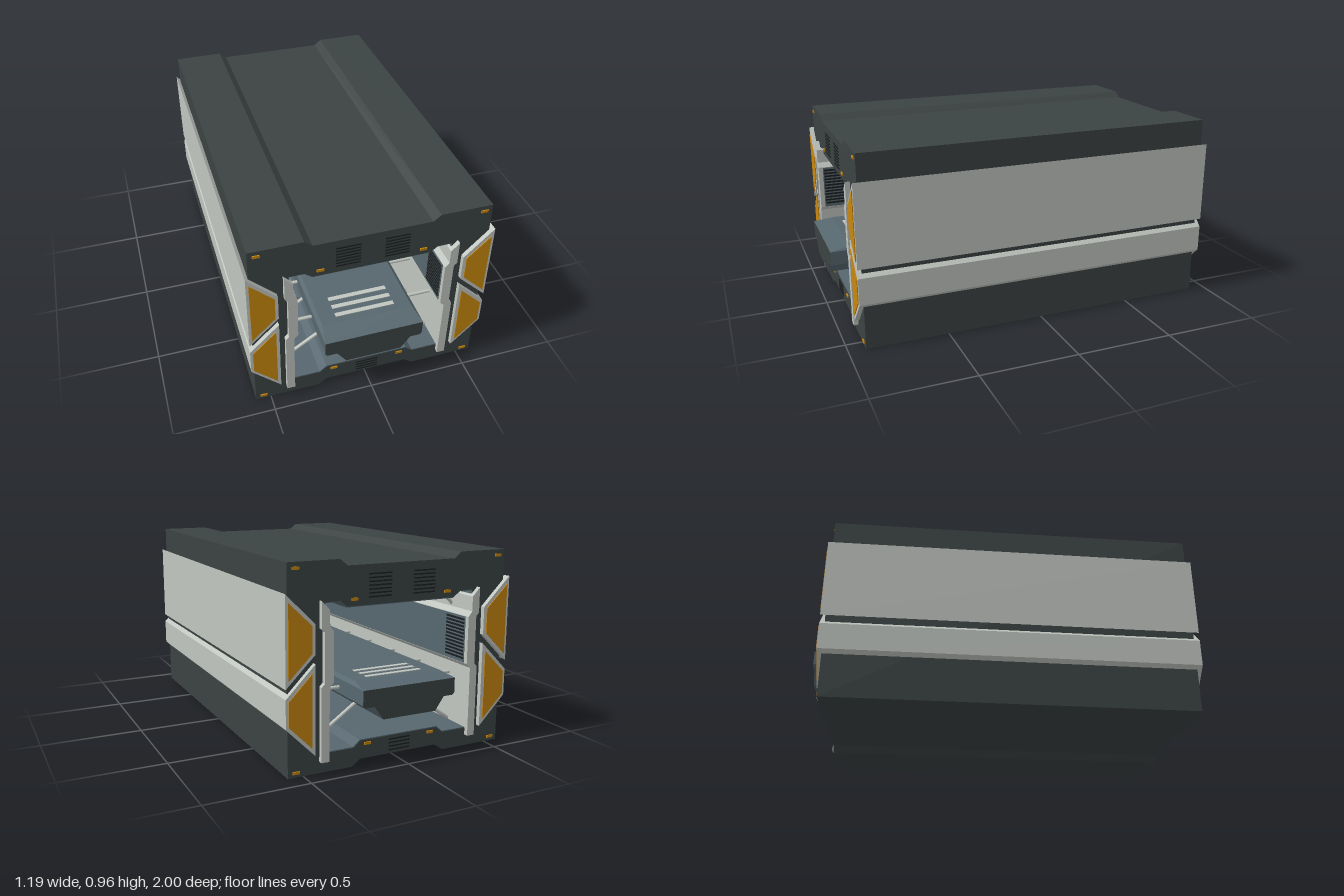
import * as THREE from 'three';

const mat = (name, color, side = THREE.FrontSide) => {
  const m = new THREE.MeshStandardMaterial({ color, side });
  m.name = name;
  return m;
};

export function createModel() {
  const group = new THREE.Group();
  const dark = mat('charcoal', 0x3c4343);
  const light = mat('pale grey', 0xc1c6c0);
  const orange = mat('orange', 0xc9870d);
  const slate = mat('slate', 0x57676f);
  const black = mat('vent black', 0x1a1e1f);

  const add = (name, geo, material, x = 0, y = 0, z = 0) => {
    const m = new THREE.Mesh(geo, material);
    m.name = name;
    m.position.set(x, y, z);
    group.add(m);
    return m;
  };
  const box = (name, material, w, h, d, x, y, z) =>
    add(name, new THREE.BoxGeometry(w, h, d), material, x, y, z);
  const vecs = (pts, s = 1) => pts.map(([x, y]) => new THREE.Vector2(x * s, y));
  // right half of a symmetric outline, listed bottom to top, closed by its mirror
  const symmetric = (half) => [...half, ...half.map(([x, y]) => [-x, y]).reverse()];
  // prism centred on z
  const prism = (pts, depth, hole, s = 1) => {
    const shape = new THREE.Shape(vecs(pts, s));
    if (hole) shape.holes.push(new THREE.Path(vecs(hole)));
    const geo = new THREE.ExtrudeGeometry(shape, { depth, bevelEnabled: false });
    return geo.translate(0, 0, -depth / 2);
  };

  // tunnel frame and its inner lining
  const outer = symmetric([[0.21, 0.032], [0.25, 0], [0.575, 0], [0.575, 0.962], [0.32, 0.962], [0.283, 0.932]]);
  const inner = symmetric([[0.21, 0.12], [0.245, 0.09], [0.393, 0.09], [0.393, 0.778], [0.32, 0.778], [0.283, 0.75]]);
  const lining = symmetric([[0.211, 0.124], [0.246, 0.094], [0.389, 0.094], [0.389, 0.774], [0.321, 0.774], [0.284, 0.746]]);
  add('tunnelFrame', prism(outer, 1.83, inner), dark);
  add('innerLining', prism(inner, 1.826, lining), slate);

  // side armour panels, wall rails and their details
  const upperPanel = [[0.45, 0.557], [0.593, 0.417], [0.593, 0.833], [0.45, 0.692]];
  const lowerPanel = [[0.45, 0.095], [0.593, 0.238], [0.593, 0.372], [0.45, 0.515]];
  const upperInset = [[0.466, 0.564], [0.58, 0.452], [0.58, 0.795], [0.466, 0.685]];
  const lowerInset = [[0.466, 0.132], [0.58, 0.246], [0.58, 0.361], [0.466, 0.475]];
  const rail = [[0.38, 0.055], [0.42, 0.055], [0.42, 0.405], [0.405, 0.42], [0.405, 0.652],
    [0.42, 0.667], [0.42, 0.79], [0.38, 0.748], [0.38, 0.677], [0.36, 0.652], [0.36, 0.42], [0.38, 0.4]];
  const rodBetween = (name, a, b, z) => {
    const A = new THREE.Vector3(a[0], a[1], z), B = new THREE.Vector3(b[0], b[1], z);
    const dir = B.clone().sub(A);
    const rod = add(name, new THREE.CylinderGeometry(0.009, 0.009, dir.length(), 8), light);
    rod.position.copy(A).add(B).multiplyScalar(0.5);
    rod.quaternion.setFromUnitVectors(new THREE.Vector3(0, 1, 0), dir.normalize());
  };

  for (const s of [-1, 1]) {
    add('upperSidePanel', prism(upperPanel, 1.876, null, s), light);
    add('lowerSidePanel', prism(lowerPanel, 1.876, null, s), light);
    add('wallRail', prism(rail, 1.876, null, s), light);
    box('wallPlate', slate, 0.004, 0.226, 1.83, s * 0.359, 0.536, 0);
    for (const e of [-1, 1]) {
      add('upperEndInset', prism(upperInset, 0.006, null, s), orange, 0, 0, e * 0.939);
      add('lowerEndInset', prism(lowerInset, 0.006, null, s), orange, 0, 0, e * 0.939);
      for (let i = 0; i < 12; i++)
        box('wallVentSlat', black, 0.006, 0.009, 0.14, s * 0.357, 0.445 + i * 0.0172, e * 0.84);
    }
    // support rods along the tunnel
    for (let i = -3; i <= 3; i++) {
      const z = i * 0.257;
      rodBetween('sideRod', [s * 0.23, 0.342], [s * 0.385, 0.342], z);
      rodBetween('lowerRod', [s * 0.14, 0.265], [s * 0.385, 0.098], z);
      rodBetween('upperRod', [s * 0.29, 0.785], [s * 0.385, 0.69], z);
    }
  }

  // marker lights and vents on both end faces
  for (const e of [-1, 1]) {
    const z = e * 0.916;
    for (const s of [-1, 1]) {
      for (const [x, y] of [[0.535, 0.935], [0.535, 0.022], [0.247, 0.781], [0.173, 0.103]])
        box('markerLight', orange, 0.034, 0.013, 0.009, s * x, y, z);
      for (let i = 0; i < 7; i++)
        box('upperVentSlat', black, 0.118, 0.006, 0.006, s * 0.117, 0.786 + i * 0.0172, z);
    }
    for (let i = 0; i < 4; i++)
      box('lowerVentSlat', black, 0.114, 0.006, 0.006, 0, 0.05 + i * 0.0175, z);
  }

  // central carriage: dark ends, slate skin, top tapering towards the edges
  const hull = symmetric([[0.14, 0.237], [0.187, 0.302], [0.235, 0.302], [0.246, 0.313], [0.246, 0.384]]);
  add('carriageHull', prism(hull, 2), [dark, slate]);
  const deck = new THREE.BoxGeometry(0.492, 0.016, 2).toNonIndexed();
  const p = deck.attributes.position;
  for (let i = 0; i < p.count; i++) {
    if (p.getY(i) > 0) {
      p.setX(i, p.getX(i) * 0.93);
      p.setZ(i, p.getZ(i) * 0.9);
    }
  }
  deck.computeVertexNormals();
  add('carriageDeck', deck, slate, 0, 0.392, 0);
  for (const e of [-1, 1])
    for (let i = 0; i < 3; i++)
      box('deckStripe', light, 0.3, 0.004, 0.024, 0, 0.401, e * (0.74 + i * 0.055));

  return group;
}
